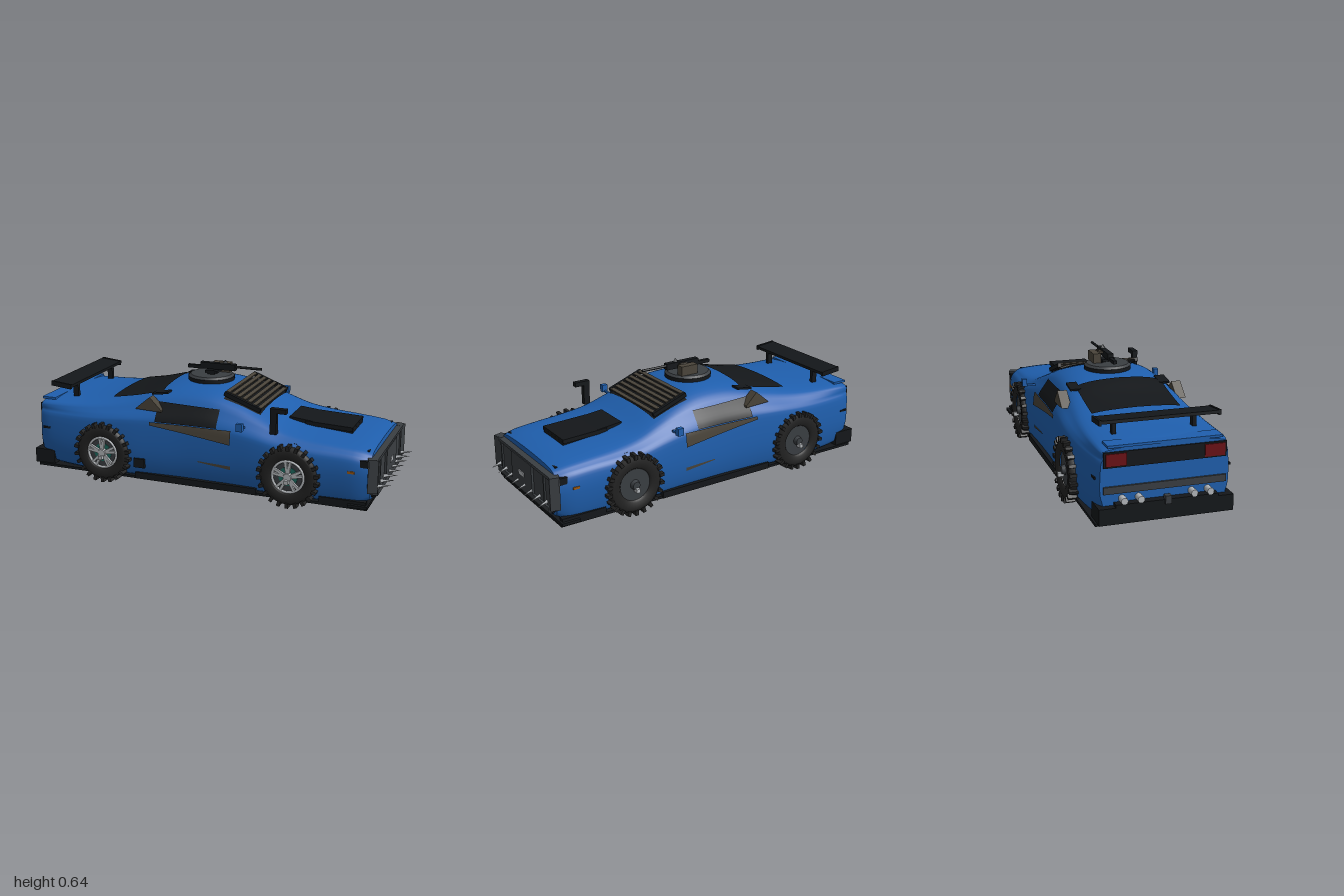
import * as THREE from 'three';

const mat = (color) => new THREE.MeshStandardMaterial({ color, side: THREE.DoubleSide });
const blue = mat(0x1f5fae), black = mat(0x14171a), grey = mat(0x3a3e42), tan = mat(0x4a443a);
const rubber = mat(0x222222), silver = mat(0xb4b8bc), red = mat(0x6a1015), teal = mat(0x1f6a60), amber = mat(0xa05a10);
const lerp = THREE.MathUtils.lerp;

// Body stations: x, half width, floor, belt height, roof half width, top
const stations = [
  [-0.945, 0.315, 0.09, 0.34, 0.29, 0.405], [-0.9, 0.332, 0.06, 0.34, 0.3, 0.414], [-0.7, 0.353, 0.045, 0.34, 0.295, 0.425],
  [-0.55, 0.36, 0.045, 0.345, 0.285, 0.443], [-0.4, 0.36, 0.045, 0.355, 0.27, 0.475], [-0.25, 0.352, 0.045, 0.36, 0.26, 0.517],
  [-0.1, 0.345, 0.045, 0.36, 0.255, 0.537], [0.05, 0.345, 0.045, 0.355, 0.255, 0.533], [0.18, 0.347, 0.045, 0.345, 0.26, 0.495],
  [0.3, 0.352, 0.045, 0.33, 0.27, 0.443], [0.42, 0.356, 0.045, 0.31, 0.28, 0.393], [0.55, 0.357, 0.045, 0.3, 0.285, 0.367],
  [0.7, 0.35, 0.045, 0.295, 0.285, 0.352], [0.84, 0.342, 0.05, 0.285, 0.28, 0.338], [0.9, 0.325, 0.075, 0.27, 0.27, 0.325],
];

// Smooth station values at any x
function station(x) {
  const n = stations.length;
  let i = 0;
  while (i < n - 2 && x > stations[i + 1][0]) i++;
  const [a, b, c, d] = [i - 1, i, i + 1, i + 2].map((k) => stations[Math.min(n - 1, Math.max(0, k))]);
  const h = c[0] - b[0], t = THREE.MathUtils.clamp((x - b[0]) / h, 0, 1);
  return b.map((v, k) => {
    const m0 = (c[k] - a[k]) / (c[0] - a[0]) * h, m1 = (d[k] - v) / (d[0] - b[0]) * h;
    const t2 = t * t, t3 = t2 * t;
    return (2 * t3 - 3 * t2 + 1) * v + (t3 - 2 * t2 + t) * m0 + (3 * t2 - 2 * t3) * c[k] + (t3 - t2) * m1;
  });
}

// Half cross-section (z, y) from floor centre round the flank to roof centre
function section(x) {
  const [, w, y0, belt, r, top] = station(x), h = top - belt;
  const p = [[0, y0], [0.5 * w, y0], [0.88 * w, y0 + 0.003], [0.965 * w, y0 + 0.05], [w, 0.2], [0.985 * w, belt - 0.02],
    [0.95 * w, belt + 0.15 * h], [lerp(r, w, 0.45), belt + 0.42 * h], [r, belt + 0.72 * h], [0.72 * r, top - 0.1 * h], [0.36 * r, top - 0.025 * h], [0, top]];
  return new THREE.SplineCurve(p.map((q) => new THREE.Vector2(...q))).getPoints(33);
}
function roofY(x, z) {
  const s = section(x), az = Math.abs(z);
  for (let i = s.length - 1; i > 0; i--) if (s[i - 1].x >= az) return lerp(s[i].y, s[i - 1].y, (az - s[i].x) / (s[i - 1].x - s[i].x));
  return 0.3;
}
function sideZ(x, y) {
  const s = section(x);
  for (let i = 6; i < s.length - 1; i++) if (s[i].y <= y && s[i + 1].y >= y) return lerp(s[i].x, s[i + 1].x, (y - s[i].y) / (s[i + 1].y - s[i].y));
  return 0.34;
}

// Surface from fn(u, v) -> [x, y, z]
function grid(fn, nu, nv) {
  const pos = [], idx = [];
  for (let i = 0; i <= nu; i++) for (let j = 0; j <= nv; j++) {
    pos.push(...fn(i / nu, j / nv));
    if (i < nu && j < nv) {
      const a = i * (nv + 1) + j, b = a + nv + 1;
      idx.push(a, b, a + 1, b, b + 1, a + 1);
    }
  }
  const g = new THREE.BufferGeometry();
  g.setAttribute('position', new THREE.Float32BufferAttribute(pos, 3));
  g.setIndex(idx);
  g.computeVertexNormals();
  return g;
}
function add(parent, name, geo, m, x = 0, y = 0, z = 0, rx = 0, ry = 0, rz = 0) {
  const mesh = new THREE.Mesh(geo, m);
  mesh.name = name;
  mesh.position.set(x, y, z);
  mesh.rotation.set(rx, ry, rz);
  parent.add(mesh);
  return mesh;
}
const box = (p, name, m, w, h, d, x, y, z, rx, ry, rz) => add(p, name, new THREE.BoxGeometry(w, h, d), m, x, y, z, rx, ry, rz);
const cyl = (p, name, m, r0, r1, h, x, y, z, rx, ry, rz, n = 24) => add(p, name, new THREE.CylinderGeometry(r0, r1, h, n), m, x, y, z, rx, ry, rz);
const roofPatch = (p, name, m, x0, x1, z0, z1, lift) => add(p, name, grid((u, v) => {
  const x = lerp(x0, x1, u), z = lerp(z1, z0, v);
  return [x, roofY(x, z) + lift, z];
}, 10, 12), m);
// Flank panel: corners given as [x, low y, high y] at both ends
const sidePatch = (p, name, m, a, b, s, lift) => add(p, name, grid((u, v) => {
  const x = lerp(a[0], b[0], u), y = lerp(lerp(a[1], b[1], u), lerp(a[2], b[2], u), s > 0 ? v : 1 - v);
  return [x, y, s * (sideZ(x, y) + lift)];
}, 10, 6), m);

function makeWheel(spoked) {
  const w = new THREE.Group();
  const prof = [[0.085, -0.045], [0.13, -0.05], [0.147, -0.04], [0.151, 0], [0.147, 0.04], [0.13, 0.05], [0.095, 0.047], [0.085, 0.035]];
  add(w, 'tyre', new THREE.LatheGeometry(prof.map((q) => new THREE.Vector2(...q)), 40).rotateX(Math.PI / 2), rubber);
  for (let i = 0; i < 44; i++) {
    const a = i / 44 * Math.PI * 2, s = i % 2 ? 1 : -1;
    box(w, 'treadLug', rubber, 0.026, 0.017, 0.046, Math.cos(a) * 0.151, Math.sin(a) * 0.151, s * 0.03, 0, 0, a);
  }
  cyl(w, 'wheelDisc', grey, 0.09, 0.09, 0.06, 0, 0, 0, Math.PI / 2);
  if (spoked) {
    add(w, 'rimRing', new THREE.TorusGeometry(0.082, 0.007, 8, 32), silver, 0, 0, 0.038);
    cyl(w, 'brakeDisc', teal, 0.05, 0.05, 0.004, 0, 0, 0.033, Math.PI / 2);
    for (let i = 0; i < 5; i++) for (const s of [-1, 1]) {
      const a = i / 5 * Math.PI * 2 + Math.PI / 2 + s * 0.16;
      box(w, 'spoke', silver, 0.066, 0.014, 0.012, Math.cos(a) * 0.046, Math.sin(a) * 0.046, 0.041, 0, 0, a);
    }
  }
  cyl(w, 'hub', spoked ? silver : grey, 0.02, 0.026, 0.02, 0, 0, 0.043, Math.PI / 2);
  box(w, 'hubBar', silver, 0.02, 0.02, 0.03, 0, -0.022, 0.056);
  return w;
}

export function createModel() {
  const car = new THREE.Group();
  car.name = 'armedCar';
  const at = (name) => { const g = new THREE.Group(); g.name = name; car.add(g); return g; };

  // Shell
  const nx = 60;
  const rings = Array.from({ length: nx + 1 }, (_, i) => {
    const x = lerp(-0.945, 0.9, i / nx), s = section(x);
    return { x, pts: [...s, ...s.slice(0, -1).reverse().map((q) => new THREE.Vector2(-q.x, q.y))] };
  });
  const nr = rings[0].pts.length - 1;
  add(car, 'body', grid((u, v) => {
    const r = rings[Math.round(u * nx)], q = r.pts[Math.round(v * nr)];
    return [r.x, q.y, q.x];
  }, nx, nr), blue);
  for (const [r, s] of [[rings[0], -1], [rings[nx], 1]])
    add(car, s > 0 ? 'nosePanel' : 'tailPanel', new THREE.ShapeGeometry(new THREE.Shape(r.pts.slice(0, -1))), blue, r.x, 0, 0, 0, s * Math.PI / 2);

  // Underside
  box(car, 'floorPlate', black, 1.85, 0.014, 0.68, -0.03, 0.041, 0);
  box(car, 'bellyPlate', tan, 1.07, 0.008, 0.44, 0.025, 0.032, 0);
  box(car, 'drainPatch', blue, 0.1, 0.004, 0.1, -0.7, 0.033, 0);
  box(car, 'noseSplitter', black, 0.1, 0.014, 0.72, 0.85, 0.055, 0);

  // Wheels
  for (const x of [-0.54, 0.495]) for (const s of [1, -1]) {
    const w = makeWheel(s > 0);
    w.name = x > 0 ? 'noseWheel' : 'tailWheel';
    w.position.set(x, 0.167, s * (x > 0 ? 0.328 : 0.335));
    if (s < 0) w.rotation.y = Math.PI;
    car.add(w);
  }

  // Flank fittings
  for (const s of [1, -1]) {
    box(car, 'sideSkirt', black, 0.68, 0.035, 0.03, -0.02, 0.055, s * 0.335);
    box(car, 'noseSkirt', black, 0.24, 0.035, 0.03, 0.77, 0.06, s * 0.328);
    sidePatch(car, 'sideWindow', black, [-0.24, 0.365, 0.46], [0.1, 0.365, 0.452], s, 0.008);
    sidePatch(car, 'doorArmour', tan, [-0.27, 0.345, 0.362], [0.18, 0.288, 0.362], s, 0.009);
    sidePatch(car, 'doorSlit', tan, [0, 0.174, 0.18], [0.18, 0.155, 0.174], s, 0.004);
    const tri = new THREE.Shape([new THREE.Vector2(-0.36, 0.42), new THREE.Vector2(-0.21, 0.415), new THREE.Vector2(-0.21, 0.425), new THREE.Vector2(-0.275, 0.49)]);
    add(car, 'airScoop', new THREE.ExtrudeGeometry(tri, { depth: 0.05, bevelEnabled: false }), tan, 0, 0, s > 0 ? 0.282 : -0.332);
    box(car, 'scoopRoof', black, 0.09, 0.01, 0.055, -0.245, 0.497, s * 0.24, 0, 0, 0.15);
    box(car, 'mirror', blue, 0.032, 0.04, 0.026, 0.245, 0.402, s * 0.386);
    box(car, 'mirrorArm', blue, 0.012, 0.01, 0.06, 0.245, 0.386, s * 0.355);
    box(car, 'markerLight', amber, 0.035, 0.012, 0.008, 0.81, 0.225, s * 0.345);
    box(car, 'tailMarker', black, 0.045, 0.01, 0.008, -0.9, 0.255, s * 0.332);
    box(car, 'headlight', black, 0.05, 0.035, 0.07, 0.875, 0.27, s * 0.3);
  }
  box(car, 'sideBox', black, 0.06, 0.05, 0.03, -0.33, 0.13, 0.35);
  box(car, 'snorkelPost', black, 0.034, 0.13, 0.028, 0.4, 0.43, 0.31);
  box(car, 'snorkelHead', black, 0.085, 0.024, 0.03, 0.425, 0.487, 0.31);

  // Glass covers, louvres and hood hatch
  roofPatch(car, 'rearWindowCover', black, -0.54, -0.245, -0.23, 0.23, 0.008);
  roofPatch(car, 'windscreen', black, 0.1, 0.3, -0.23, 0.23, 0.005);
  for (let i = 0; i < 7; i++) {
    const x = 0.115 + i * 0.029;
    box(car, 'windscreenSlat', tan, 0.021, 0.007, 0.42, x, roofY(x, 0.1) + 0.014, 0, 0, 0, -0.2);
  }
  for (const s of [1, -1]) box(car, 'slatRail', black, 0.21, 0.022, 0.018, 0.2, roofY(0.2, 0.21) + 0.018, s * 0.22, 0, 0, -0.36);
  box(car, 'hoodHatch', black, 0.34, 0.022, 0.21, 0.585, 0.372, 0, 0, 0, -0.1);
  box(car, 'hoodIntake', black, 0.25, 0.022, 0.225, 0.63, 0.372, 0, 0, 0, -0.04);
  box(car, 'noseGap', black, 0.012, 0.012, 0.54, 0.875, 0.315, 0);

  // Roof gun
  const gun = at('roofGun');
  cyl(gun, 'turretBase', black, 0.125, 0.125, 0.02, -0.06, 0.542, 0, 0, 0, 0, 32);
  cyl(gun, 'turretRing', grey, 0.112, 0.125, 0.012, -0.06, 0.557, 0, 0, 0, 0, 32);
  box(gun, 'mountFoot', black, 0.07, 0.012, 0.07, -0.05, 0.577, 0);
  for (const s of [1, -1]) box(gun, 'mountArm', black, 0.04, 0.025, 0.012, -0.05, 0.572, s * 0.03);
  box(gun, 'receiver', black, 0.2, 0.034, 0.03, -0.02, 0.604, 0);
  box(gun, 'gunGrip', black, 0.09, 0.018, 0.02, -0.15, 0.592, 0);
  cyl(gun, 'barrel', black, 0.007, 0.007, 0.16, 0.145, 0.607, 0, 0, 0, Math.PI / 2, 10);
  cyl(gun, 'sight', grey, 0.002, 0.014, 0.018, 0.02, 0.632, 0, 0, 0, 0, 4);
  box(gun, 'ammoBox', tan, 0.1, 0.052, 0.042, -0.02, 0.588, -0.058);
  box(gun, 'ammoFeed', tan, 0.04, 0.01, 0.03, -0.01, 0.612, -0.028, 0.3);

  // Spiked ram plate
  const ram = at('ramPlate');
  box(ram, 'ramBack', grey, 0.03, 0.17, 0.6, 0.912, 0.205, 0);
  box(ram, 'ramCentre', grey, 0.026, 0.17, 0.235, 0.925, 0.2, 0);
  box(ram, 'ramTopRail', grey, 0.035, 0.016, 0.6, 0.916, 0.287, 0);
  box(ram, 'ramBottomRail', grey, 0.04, 0.028, 0.6, 0.918, 0.12, 0);
  for (const s of [1, -1]) {
    box(ram, 'ramWing', grey, 0.05, 0.172, 0.055, 0.908, 0.21, s * 0.303, 0, s * 0.3);
    box(ram, 'ramRib', grey, 0.03, 0.15, 0.012, 0.92, 0.205, s * 0.245);
    box(ram, 'ramBrace', black, 0.05, 0.03, 0.02, 0.9, 0.16, s * 0.13);
  }
  box(ram, 'numberPlate', silver, 0.004, 0.024, 0.06, 0.94, 0.202, 0);
  for (let i = 0; i < 8; i++)
    cyl(ram, 'spike', silver, 0.001, 0.011, 0.075, 0.957, 0.15, 0.27 - i * 0.078, 0, 0.5, -Math.PI / 2, 4);
  box(ram, 'lowerBar', black, 0.03, 0.016, 0.56, 0.895, 0.096, 0);

  // Tail
  const tail = at('tail');
  box(tail, 'spoilerWing', black, 0.12, 0.016, 0.59, -0.82, 0.495, 0, 0, 0, -0.1);
  for (const s of [1, -1]) {
    box(tail, 'spoilerEnd', black, 0.12, 0.026, 0.012, -0.82, 0.493, s * 0.292, 0, 0, -0.1);
    box(tail, 'spoilerPost', black, 0.03, 0.09, 0.02, -0.78, 0.45, s * 0.2);
    box(tail, 'tailLight', red, 0.014, 0.06, 0.1, -0.95, 0.345, s * 0.24);
    for (const z of [0.13, 0.21]) cyl(tail, 'exhaustTip', silver, 0.017, 0.017, 0.05, -0.965, 0.155, s * z, 0, 0, Math.PI / 2, 12);
  }
  box(tail, 'lightPanel', black, 0.012, 0.075, 0.6, -0.946, 0.345, 0);
  box(tail, 'tailLip', blue, 0.08, 0.012, 0.56, -0.91, 0.407, 0);
  box(tail, 'bumperStrip', grey, 0.014, 0.035, 0.6, -0.948, 0.2, 0);
  box(tail, 'rearBumper', black, 0.12, 0.08, 0.66, -0.922, 0.085, 0);
  box(tail, 'towBar', black, 0.04, 0.02, 0.5, -0.965, 0.13, 0);
  box(tail, 'towHook', grey, 0.03, 0.04, 0.03, -0.98, 0.14, 0);
  return car;
}
